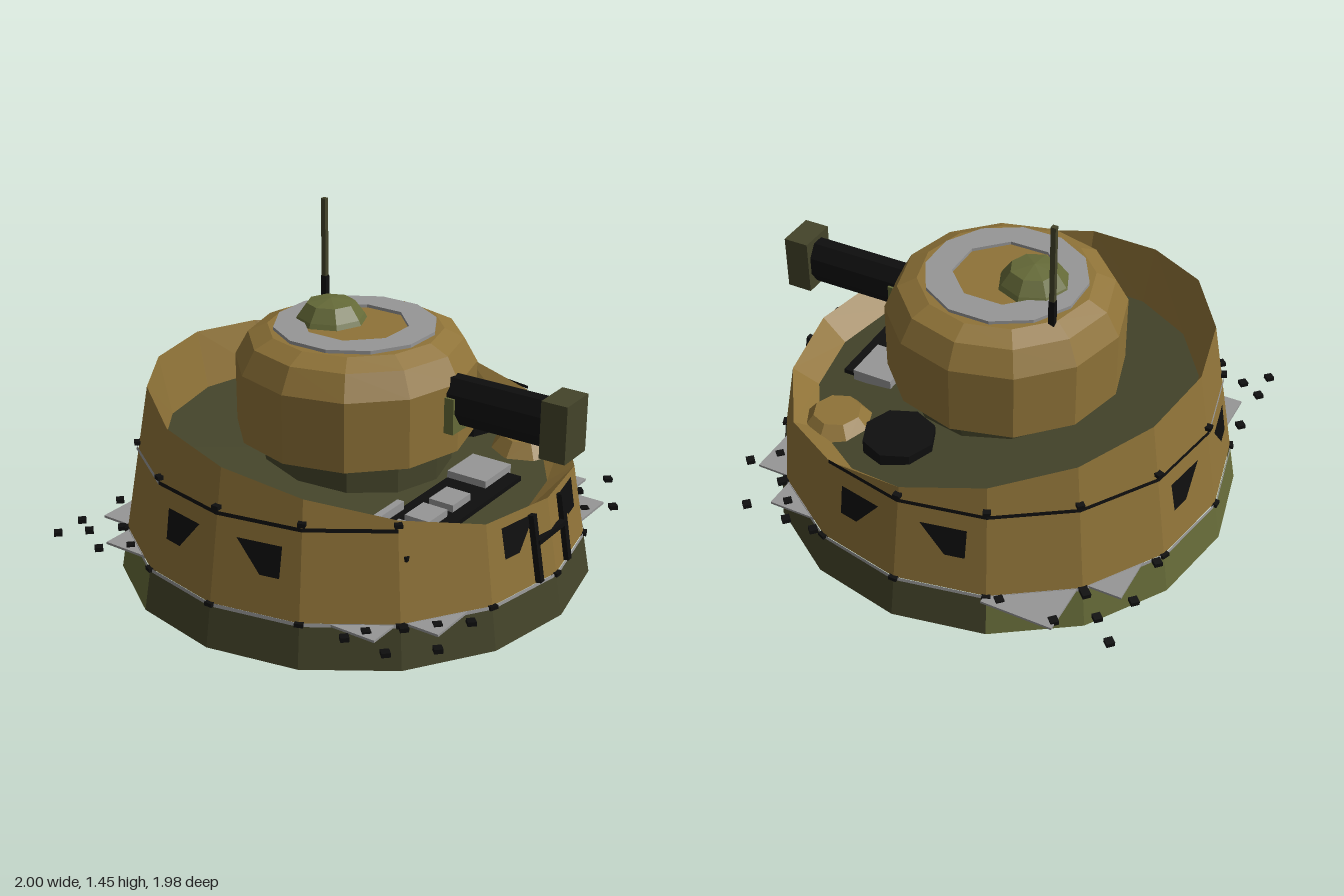
import * as THREE from 'three';

const mat = (name, color, side = THREE.FrontSide) =>
  Object.assign(new THREE.MeshStandardMaterial({ color, flatShading: true, side }), { name });

export function createModel() {
  const D = THREE.DoubleSide;
  const tan = mat('tan armour', 0x8f7338, D);
  const olive = mat('olive', 0x656a38, D);
  const dark = mat('dark olive', 0x44442a, D);
  const grey = mat('grey metal', 0x969696, D);
  const black = mat('black', 0x0e0e0e, D);

  const model = new THREE.Group();
  const hull = new THREE.Group();
  hull.name = 'hull';
  hull.position.x = -0.01;
  model.add(hull);

  const add = (parent, name, geo, material, x = 0, y = 0, z = 0) => {
    const m = new THREE.Mesh(geo, material);
    m.name = name;
    m.position.set(x, y, z);
    parent.add(m);
    return m;
  };
  const box = (parent, name, material, w, h, d, x, y, z) =>
    add(parent, name, new THREE.BoxGeometry(w, h, d), material, x, y, z);

  // Sixteen-sided sloping hull
  const N = 16;
  const radius = y => 0.99 - 0.175 * y;
  const corner = (i, r, y) => {
    const a = (i / N) * Math.PI * 2;
    return [r * Math.cos(a), y, r * Math.sin(a)];
  };
  // Skin between two loops, from corner i0 to corner i1
  const band = (low, high, i0 = 0, i1 = N) => {
    const p = [];
    for (let i = i0; i < i1; i++) {
      const a = low(i), b = low(i + 1), c = high(i + 1), d = high(i);
      p.push(...a, ...d, ...c, ...a, ...c, ...b);
    }
    const g = new THREE.BufferGeometry();
    g.setAttribute('position', new THREE.Float32BufferAttribute(p, 3));
    g.computeVertexNormals();
    return g;
  };
  const level = (y, out = 0) => i => corner(i, radius(y) + out, y);

  // Rim height at each corner, starting at the gun end and passing the front
  const rimY = [0.49, 0.50, 0.575, 0.65, 0.71, 0.755, 0.80, 0.80,
    0.80, 0.77, 0.72, 0.66, 0.59, 0.53, 0.475, 0.475];
  const rim = (out = 0) => i => corner(i, radius(rimY[i % N]) + out, rimY[i % N]);
  const deckLoop = i => {
    const p = corner(i, 0.8, 0);
    p[1] = 0.47 - 0.1 * p[0];
    return p;
  };

  add(hull, 'skirt', band(level(0), level(0.172), -5, 5), dark);
  add(hull, 'rearSkirt', band(level(0), level(0.172), 5, 11), olive);
  add(hull, 'skirtSeam', band(level(0.168, 0.004), level(0.182, 0.004)), grey);
  add(hull, 'armourWall', band(level(0.18), rim()), tan);
  add(hull, 'innerCoaming', band(rim(), deckLoop), tan);
  add(hull, 'deck', band(deckLoop, () => [0, 0.47, 0]), dark);

  // Upper seam with bolts
  add(hull, 'upperSeam', band(level(0.53, 0.008), level(0.545, 0.008), 2, 5), black);
  add(hull, 'upperSeamPlate', band(level(0.53, 0.008), level(0.545, 0.008), 5, 8), grey);
  add(hull, 'rearSeam', band(level(0.53, 0.008), level(0.545, 0.008), 8, 13), black);
  for (let i = 2; i <= 12; i++) {
    const b = box(hull, 'seamBolt', black, 0.03, 0.016, 0.03, ...corner(i, radius(0.56) + 0.006, 0.56));
    b.rotation.y = -(i / N) * Math.PI * 2;
  }

  // Vision ports: a mirrored pair on each of the four sides
  const onWall = (u, y) => {
    const r = radius(y) + 0.006, s = Math.sin(Math.PI / 8), c = Math.cos(Math.PI / 8);
    return [r - (Math.abs(u) / s) * (1 - c), y, u];
  };
  for (let k = 0; k < 4; k++) {
    for (const s of [-1, 1]) {
      const q = [[0.09, 0.46], [0.275, 0.46], [0.275, 0.335], [0.195, 0.335]].map(([u, y]) => onWall(s * u, y));
      const g = new THREE.BufferGeometry();
      g.setAttribute('position', new THREE.Float32BufferAttribute(
        (s > 0 ? [0, 1, 2, 0, 2, 3] : [0, 2, 1, 0, 3, 2]).flatMap(i => q[i]), 3));
      g.computeVertexNormals();
      add(hull, 'visionPort', g, black).rotation.y = k * Math.PI / 2;
    }
  }

  // Step frame below the gun
  for (const s of [-1, 1]) {
    const rail = box(hull, 'stepRail', black, 0.025, 0.28, 0.026, 0.924, 0.325, s * 0.112);
    rail.rotation.z = 0.17;
  }
  box(hull, 'stepBar', black, 0.025, 0.022, 0.22, 0.925, 0.35, 0);

  // Floor and overlapping square plates
  add(hull, 'underFloor', new THREE.CylinderGeometry(0.84, 0.84, 0.012, 8), black, 0, 0.16, 0);
  box(hull, 'floorPlateLong', grey, 1.32, 0.01, 1.65, 0, 0.174, 0);
  box(hull, 'floorPlateWide', grey, 1.66, 0.01, 1.32, 0, 0.176, 0);
  box(hull, 'floorPlateBack', grey, 0.3, 0.01, 0.26, -0.51, 0.175, -0.79);

  // Diamond studs around the plates
  const studs = [
    [0.88, -0.88], [0.65, -0.88], [0.42, -0.88], [0.88, -0.65], [0.79, -0.79], [0.70, -0.70], [0.88, -0.42],
    [0.88, 0.51], [0.88, 0.74], [0.79, 0.79], [0.88, 0.88], [0.65, 0.88], [0.70, 0.69], [0.56, 0.79]
  ].map(([x, z]) => [-x, z]).concat([
    [0.42, -0.88], [0.55, -0.88], [0.74, -0.88], [0.60, -0.79], [0.69, -0.70], [0.88, -0.65], [0.79, -0.56],
    [0.88, 0.51], [0.79, 0.60], [0.88, 0.74], [0.70, 0.69], [0.60, 0.79], [0.56, 0.87], [0.74, 0.87]
  ]);
  for (const [x, z] of studs)
    box(hull, 'stud', black, 0.034, 0.018, 0.034, x, 0.178, z).rotation.y = Math.PI / 4;
  for (let i = 0; i < N; i++)
    box(hull, 'skirtBolt', black, 0.035, 0.016, 0.035, ...corner(i, 0.955, 0.177)).rotation.y = -(i / N) * Math.PI * 2;

  // Deck fittings
  add(hull, 'roundHatch', new THREE.CylinderGeometry(0.15, 0.15, 0.06, 8), black, 0.21, 0.47, -0.53);
  add(hull, 'ventBase', new THREE.CylinderGeometry(0.1, 0.15, 0.06, 8), tan, 0.52, 0.45, -0.5);
  box(hull, 'deckBay', black, 0.24, 0.02, 0.84, 0.55, 0.425, 0.21);
  box(hull, 'deckLocker', grey, 0.18, 0.05, 0.2, 0.52, 0.44, -0.13);
  for (let i = 0; i < 3; i++)
    box(hull, 'deckCrate', grey, 0.11, 0.05, 0.13, 0.56, 0.44, 0.16 + i * 0.17);
  box(hull, 'deckStrip', grey, 0.03, 0.04, 0.24, 0.43, 0.45, 0.43);

  // Turret
  const turret = new THREE.Group();
  turret.name = 'turret';
  turret.position.x = -0.012;
  model.add(turret);
  const lathe = (pts, n) => new THREE.LatheGeometry(pts.map(p => new THREE.Vector2(...p)), n);
  add(turret, 'turretPedestal', new THREE.CylinderGeometry(0.4, 0.4, 0.16, 12), dark, 0, 0.51, 0);
  add(turret, 'turretShell', lathe([[0, 0.58], [0.495, 0.58], [0.495, 0.87], [0.44, 0.97], [0.36, 1.008], [0, 1.01]], 12), tan);

  // Grey roof ring with an octagonal opening
  const ringShape = new THREE.Shape();
  const loop = (path, r, n) => {
    for (let i = 0; i < n; i++) {
      const a = ((i + 0.5) / n) * Math.PI * 2;
      path[i ? 'lineTo' : 'moveTo'](r * Math.cos(a), r * Math.sin(a));
    }
    path.closePath();
    return path;
  };
  loop(ringShape, 0.335, 12);
  ringShape.holes.push(loop(new THREE.Path(), 0.22, 8));
  const ringGeo = new THREE.ExtrudeGeometry(ringShape, { depth: 0.018, bevelEnabled: false });
  add(turret, 'roofRing', ringGeo.rotateX(-Math.PI / 2), grey, 0, 1.004, 0);

  add(turret, 'cupola', lathe([[0.15, 1.01], [0.14, 1.03], [0.1, 1.085], [0, 1.102]], 8), olive, -0.123, 0, 0);
  box(turret, 'antennaBase', black, 0.025, 0.12, 0.025, -0.298, 1.05, -0.2);
  box(turret, 'antenna', dark, 0.021, 0.34, 0.021, -0.298, 1.275, -0.2);

  // Gun
  box(model, 'mantlet', olive, 0.07, 0.15, 0.15, 0.47, 0.755, 0);
  const barrel = add(model, 'gunBarrel', new THREE.CylinderGeometry(0.1, 0.1, 0.5, 8)
    .rotateY(Math.PI / 8).scale(1.03, 1, 0.7).rotateZ(Math.PI / 2), black, 0.66, 0.805, 0);
  barrel.castShadow = false;
  box(model, 'muzzle', dark, 0.11, 0.235, 0.165, 0.945, 0.805, 0);

  return model;
}
